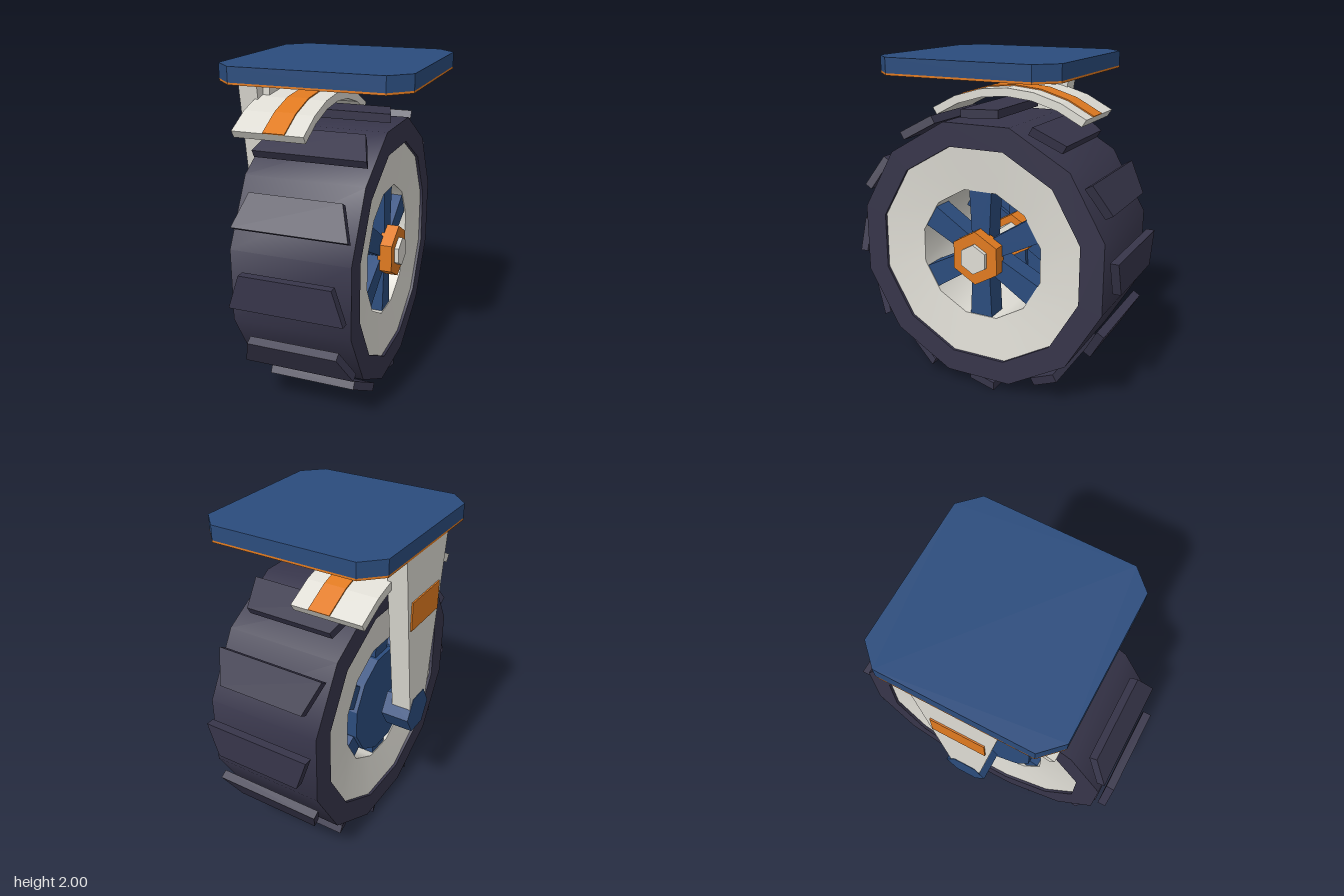
import * as THREE from 'three';
import { toCreasedNormals } from 'three/addons/utils/BufferGeometryUtils.js';

const mat = (name, color) => {
  const m = new THREE.MeshStandardMaterial({ color });
  m.name = name;
  return m;
};

// Faceted normals
function flat(geo) {
  const g = geo.index ? geo.toNonIndexed() : geo;
  g.computeVertexNormals();
  return g;
}

// Prism with its axis along x, from x0 to x1
function prismX(radius, sides, x0, x1, start = 0) {
  const g = new THREE.CylinderGeometry(radius, radius, x1 - x0, sides, 1, false, start);
  return flat(g.rotateZ(-Math.PI / 2).translate((x0 + x1) / 2, 0, 0));
}

// Ring with its axis along x, from a closed [radius, x] profile; smooth around, sharp at the rims
function ringX(profile) {
  const pts = profile.map(([r, x]) => new THREE.Vector2(r, x));
  const g = new THREE.LatheGeometry(pts, 12, Math.PI / 12);
  return toCreasedNormals(g.rotateZ(-Math.PI / 2), 0.7);
}

const shapeOf = pts => new THREE.Shape(pts.map(([x, y]) => new THREE.Vector2(x, y)));

// Outline in the side plane, extruded from x0 to x1
function extrudeX(pts, x0, x1) {
  const g = new THREE.ExtrudeGeometry(shapeOf(pts), { depth: x1 - x0, bevelEnabled: false });
  return flat(g.rotateY(Math.PI / 2).translate(x0, 0, 0));
}

// Outline in the ground plane, extruded from y0 to y1
function extrudeY(pts, y0, y1) {
  const g = new THREE.ExtrudeGeometry(shapeOf(pts), { depth: y1 - y0, bevelEnabled: false });
  return flat(g.rotateX(-Math.PI / 2).translate(0, y0, 0));
}

// Curved strip around the wheel centre
function arcStrip(inner, outer, cy) {
  const pts = [], n = 6, half = 0.575;
  const at = (r, i) => {
    const a = -half + (2 * half * i) / n;
    return [r * Math.sin(a), cy + r * Math.cos(a)];
  };
  for (let i = 0; i <= n; i++) pts.push(at(inner, i));
  for (let i = n; i >= 0; i--) pts.push(at(outer, i));
  return pts;
}

export function createModel() {
  const rubber = mat('dark rubber', 0x37354a);
  const blue = mat('blue paint', 0x2b4c7d);
  const grey = mat('light grey metal', 0xdedcd4);
  const orange = mat('orange accent', 0xe07a20);
  const model = new THREE.Group();
  model.name = 'casterWheel';
  const add = (parent, name, geo, material) => {
    const mesh = new THREE.Mesh(geo, material);
    mesh.name = name;
    parent.add(mesh);
    return mesh;
  };
  const CY = 0.857;

  // Wheel, built around its own axle
  const wheel = new THREE.Group();
  wheel.name = 'wheel';
  wheel.position.set(0.003, CY, 0);
  model.add(wheel);
  add(wheel, 'tyre', ringX([[0.663, -0.346], [0.807, -0.346], [0.807, 0.346],
    [0.663, 0.346], [0.663, -0.346]]), rubber);
  add(wheel, 'rim', ringX([[0.4, -0.3], [0.675, -0.33], [0.675, 0.33], [0.4, 0.3], [0.4, -0.3]]), grey);

  // Tread blocks taper in the rolling direction
  const tread = extrudeY([[-0.33, -0.1], [0.33, -0.1], [0.265, 0.1], [-0.265, 0.1]], 0.807, 0.857);
  for (let i = 0; i < 12; i++) {
    add(wheel, 'treadBlock', tread, rubber).rotation.x = (i * Math.PI) / 6;
  }

  // Spokes on both sides, slightly narrower at the hub
  const outline = [[-0.055, 0.06], [0.055, 0.06], [0.073, 0.41], [-0.073, 0.41]];
  for (const [x0, x1] of [[0.16, 0.295], [-0.295, -0.19]]) {
    const spoke = extrudeX(outline, x0, x1);
    for (let i = 0; i < 6; i++) {
      add(wheel, 'spoke', spoke, blue).rotation.x = (i * Math.PI) / 3;
    }
  }

  // Backing disc, axle and hub
  add(wheel, 'backingDisc', prismX(0.33, 12, -0.32, -0.22, Math.PI / 12), blue);
  add(wheel, 'axle', prismX(0.09, 6, -0.25, 0.392, Math.PI / 6), grey);
  add(wheel, 'innerHub', prismX(0.14, 6, -0.22, -0.1, Math.PI / 6), orange);
  add(wheel, 'hub', prismX(0.163, 6, 0.28, 0.367, Math.PI / 6), orange);

  // Mounting plate with clipped corners
  const a = 0.55, b = 0.437;
  const plate = [[-b, -a], [b, -a], [a, -b], [a, b], [b, a], [-b, a], [-a, b], [-a, -b]];
  add(model, 'mountingPlate', extrudeY(plate, 1.915, 2), blue).position.x = 0.003;
  add(model, 'plateTrim', extrudeY(plate, 1.903, 1.915), orange).position.x = 0.003;

  // Side arm tapering down to the axle foot
  add(model, 'arm', extrudeX([[-0.09, 0.857], [0.09, 0.857], [0.24, 1.905], [-0.24, 1.905]], -0.545, -0.428), grey);
  add(model, 'armGusset', flat(new THREE.BoxGeometry(0.06, 0.16, 0.3).translate(-0.418, 1.825, 0)), grey);
  add(model, 'armPanel', flat(new THREE.BoxGeometry(0.009, 0.17, 0.32).translate(-0.549, 1.56, 0)), orange);
  add(model, 'axleFoot', prismX(0.132, 6, -0.548, -0.377), blue).position.y = CY;

  // Mudguard following the wheel, with a stripe on top
  add(model, 'mudguard', extrudeX(arcStrip(0.89, 0.94, CY), -0.45, -0.02), grey);
  add(model, 'mudguardStripe', extrudeX(arcStrip(0.938, 0.947, CY), -0.26, -0.13), orange);

  return model;
}
